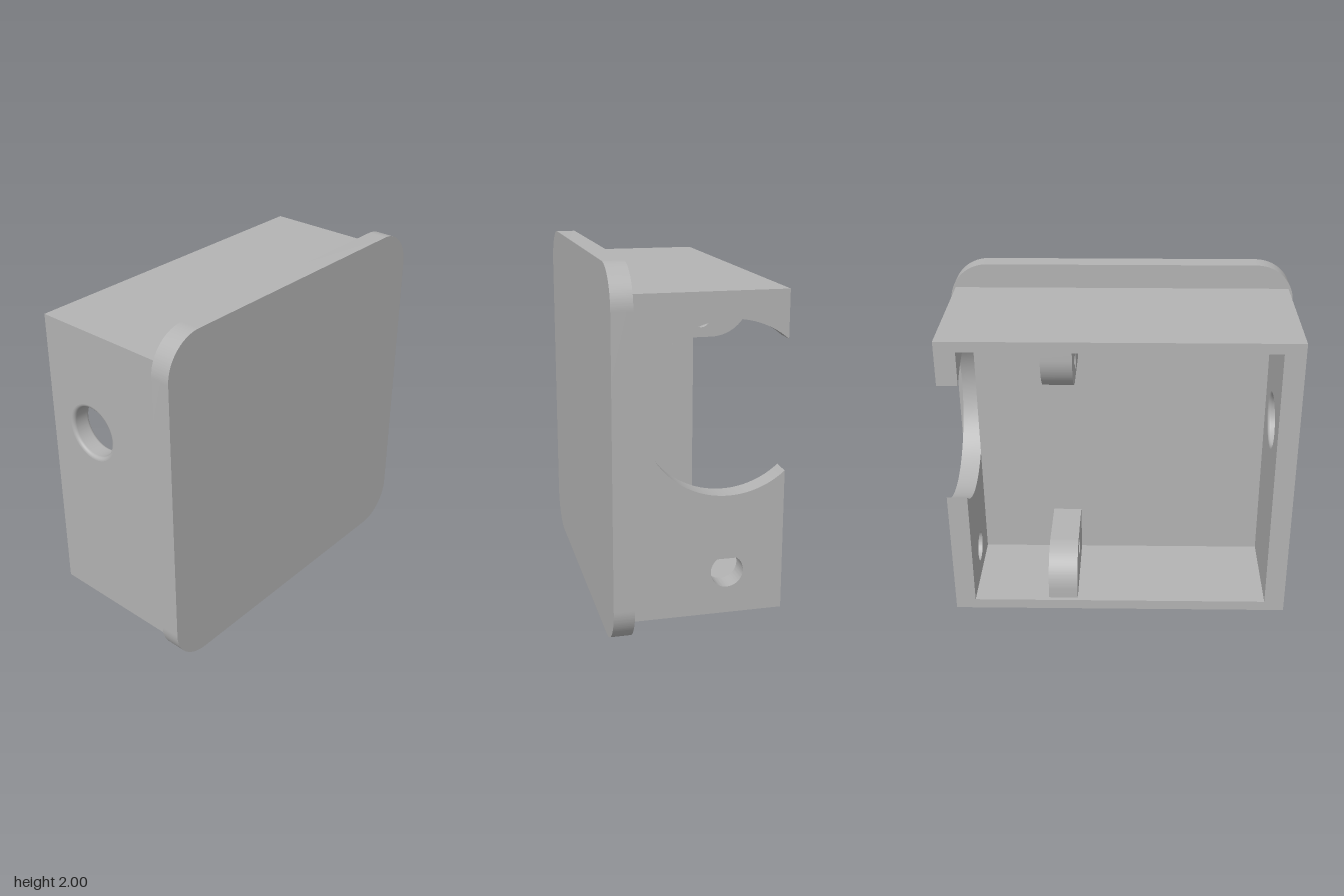
import * as THREE from 'three';
import { toCreasedNormals } from 'three/addons/utils/BufferGeometryUtils.js';

// Main dimensions
const FRONT = 0.4575, SEAM = 0.345, FLOOR = 0.115, BACK = -0.4575;
const BOTTOM = 0.145, TOP = 1.86, HALF = 0.97;
const SIDE_T = 0.115, SLAB_T = 0.06;
const HOLE_Z = -0.155, PORT_Y = 1.26;
const INNER = HALF - SIDE_T;

export function createModel() {
  const model = new THREE.Group();
  model.name = 'wallBox';
  const grey = new THREE.MeshStandardMaterial({ color: 0xb3b3b3 });
  grey.name = 'plain grey';

  const add = (name, geometry) => {
    const mesh = new THREE.Mesh(geometry, grey);
    mesh.name = name;
    model.add(mesh);
    return mesh;
  };
  const extrude = (shape, depth) => toCreasedNormals(
    new THREE.ExtrudeGeometry(shape, { depth, bevelEnabled: false, curveSegments: 40 }), 0.5);
  // Side profiles are drawn as (-z, y) and extruded along +x from x0
  const extrudeX = (shape, x0, x1) => extrude(shape, x1 - x0).rotateY(Math.PI / 2).translate(x0, 0, 0);
  const box = (name, x0, x1, y0, y1, z0, z1) => add(name,
    new THREE.BoxGeometry(x1 - x0, y1 - y0, z1 - z0)
      .translate((x0 + x1) / 2, (y0 + y1) / 2, (z0 + z1) / 2));
  const circle = (y, r) => new THREE.Path().absarc(-HOLE_Z, y, r, 0, Math.PI * 2, true);

  // Front plate with rounded corners
  const r = 0.22, plate = new THREE.Shape();
  plate.absarc(1 - r, 2 - r, r, 0, Math.PI / 2);
  plate.absarc(-1 + r, 2 - r, r, Math.PI / 2, Math.PI);
  plate.absarc(-1 + r, r, r, Math.PI, Math.PI * 1.5);
  plate.absarc(1 - r, r, r, Math.PI * 1.5, Math.PI * 2);
  plate.closePath();
  add('frontPlate', extrude(plate, FRONT - SEAM).translate(0, 0, SEAM));

  // Thick floor and the top and bottom walls
  box('floorBlock', -INNER, INNER, BOTTOM + SLAB_T, TOP - SLAB_T, FLOOR, SEAM);
  box('topWall', -INNER, INNER, TOP - SLAB_T, TOP, BACK, SEAM);
  box('bottomWall', -INNER, INNER, BOTTOM, BOTTOM + SLAB_T, BACK, SEAM);

  // Left wall: large round cut-out open to the back, and a small hole
  const cutR = 0.46, a = Math.acos((HOLE_Z - BACK) / cutR);
  const left = new THREE.Shape();
  left.moveTo(-SEAM, BOTTOM);
  left.lineTo(-BACK, BOTTOM);
  left.absarc(-HOLE_Z, PORT_Y, cutR, -a, a, true);
  left.lineTo(-BACK, TOP);
  left.lineTo(-SEAM, TOP);
  left.closePath();
  left.holes.push(circle(0.38, 0.088));
  add('leftWall', extrudeX(left, INNER, HALF));

  // Right wall: cable hole with rounded rims
  const fillet = 0.02, portR = 0.145;
  const right = new THREE.Shape();
  right.moveTo(-SEAM, BOTTOM);
  right.lineTo(-BACK, BOTTOM);
  right.lineTo(-BACK, TOP);
  right.lineTo(-SEAM, TOP);
  right.closePath();
  right.holes.push(circle(PORT_Y, portR + fillet));
  add('rightWall', extrudeX(right, -HALF, -INNER));

  const rim = [];
  for (const s of [1, -1]) {
    for (let i = 0; i <= 6; i++) {
      const t = (s > 0 ? i : 6 - i) / 6 * Math.PI / 2;
      rim.push(new THREE.Vector2(portR + fillet * (1 - Math.sin(t)),
        s * (SIDE_T / 2 - fillet + fillet * Math.cos(t))));
    }
  }
  add('cableHoleRim', new THREE.LatheGeometry(rim, 80).rotateZ(Math.PI / 2)
    .translate(-HALF + SIDE_T / 2, PORT_Y, HOLE_Z));

  // Mounting lugs at the top and bottom, mirrored about mid height
  const MID = (TOP + BOTTOM) / 2, lugR = 0.22, lugEnd = 0.432;
  for (const s of [1, -1]) {
    const y = (h) => MID + s * h;
    const tip = 0.522, base = TOP - SLAB_T - MID;
    const lug = new THREE.Shape();
    lug.moveTo(-FLOOR, y(base));
    lug.lineTo(-FLOOR, y(tip));
    lug.absarc(lugEnd - lugR, y(tip + lugR), lugR, -s * Math.PI / 2, 0, s < 0);
    lug.lineTo(lugEnd, y(base));
    lug.closePath();
    lug.holes.push(circle(y(0.623), 0.047));
    add(s > 0 ? 'topLug' : 'bottomLug', extrudeX(lug, 0.25, 0.42));
  }
  return model;
}
